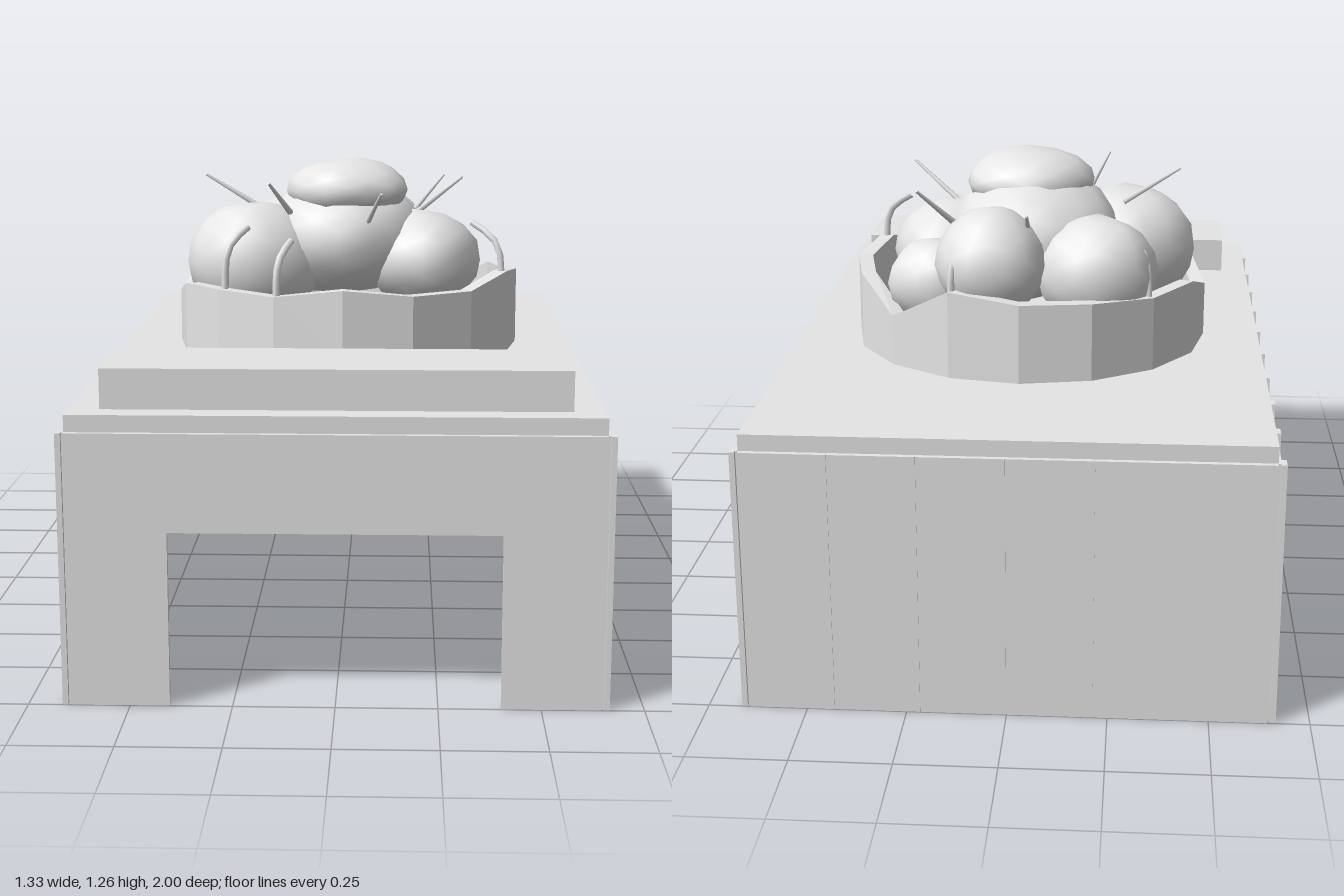
import * as THREE from 'three';
import { mergeVertices } from 'three/addons/utils/BufferGeometryUtils.js';

export function createModel() {
  const model = new THREE.Group();
  const grey = new THREE.MeshStandardMaterial({ color: 0xe6e6e6 });
  grey.name = 'light grey';

  const add = (name, geometry) => {
    const mesh = new THREE.Mesh(geometry, grey);
    mesh.name = name;
    model.add(mesh);
    return mesh;
  };
  // Box given by its minimum and maximum corners
  const box = (name, x0, x1, y0, y1, z0, z1) => {
    const mesh = add(name, new THREE.BoxGeometry(x1 - x0, y1 - y0, z1 - z0));
    mesh.position.set((x0 + x1) / 2, (y0 + y1) / 2, (z0 + z1) / 2);
  };

  // Side walls with evenly spaced vertical ribs, and the rail above each wall
  for (const s of [-1, 1]) {
    const side = s > 0 ? 'left' : 'right';
    const span = (name, a, b, y0, y1, z0, z1) =>
      box(name, Math.min(s * a, s * b), Math.max(s * a, s * b), y0, y1, z0, z1);
    span(side + 'Wall', 0.645, 0.654, 0, 0.68, -0.988, 0.988);
    span(side + 'Rail', 0.635, 0.646, 0.67, 0.71, -0.986, 0.986);
    for (let i = 0; i < 10; i++) {
      const z = -0.98 + (i * 1.96) / 9;
      span(side + 'Rib', 0.652, 0.666, 0, 0.68, z - 0.018, z + 0.018);
    }
    box(s > 0 ? 'frontRail' : 'backRail', -0.636, 0.636, 0.67, 0.71, s * 0.981 - 0.005, s * 0.981 + 0.005);
  }

  // Front wall with a wide doorway
  const front = new THREE.Shape();
  [[-0.645, 0], [-0.403, 0], [-0.403, 0.437], [0.403, 0.437], [0.403, 0], [0.645, 0], [0.645, 0.68], [-0.645, 0.68]]
    .forEach(([x, y], i) => (i ? front.lineTo(x, y) : front.moveTo(x, y)));
  add('frontWall', new THREE.ExtrudeGeometry(front, { depth: 0.014, bevelEnabled: false })).position.z = 0.985;

  // Back wall made of six panels
  box('backWall', -0.645, 0.645, 0, 0.68, -0.997, -0.985);
  for (let i = 0; i < 6; i++) {
    const x = -0.645 + i * 0.215;
    box('backPanel', x + 0.001, x + 0.214, 0, 0.68, -1, -0.996);
  }

  // Roof plate and the front box
  box('roof', -0.646, 0.646, 0.708, 0.722, -0.986, 0.986);
  box('frontBox', -0.57, 0.57, 0.722, 0.822, 0.636, 0.92);

  // Sixteen-sided bowl with an uneven rim
  const rim = [0.938, 0.918, 0.918, 0.953, 0.935, 0.933, 0.858, 0.955, 0.933,
    0.93, 0.92, 0.925, 0.87, 0.915, 0.92, 0.915, 0.938];
  const profile = [[0.492, 0.722], [0.492, 0.9], [0.452, 0.9], [0.452, 0.722]].map(p => new THREE.Vector2(...p));
  const lathe = new THREE.LatheGeometry(profile, 16);
  const lp = lathe.attributes.position;
  for (let k = 0; k < lp.count; k++) {
    if (k % 4 === 1 || k % 4 === 2) lp.setY(k, rim[Math.floor(k / 4)]);
  }
  const bowl = lathe.toNonIndexed();
  bowl.computeVertexNormals();
  add('bowl', bowl).position.z = -0.07;

  // Lumpy smooth mounds heaped in the bowl: centre, then radii
  const mounds = [
    [0.003, 1.165, -0.08, 0.178, 0.09, 0.178],
    [-0.015, 1.025, -0.13, 0.24, 0.172, 0.275],
    [-0.265, 0.965, -0.01, 0.197, 0.172, 0.19],
    [0.215, 0.965, -0.07, 0.167, 0.143, 0.2],
    [-0.195, 0.97, -0.335, 0.163, 0.15, 0.155],
    [0.085, 1.0, -0.375, 0.15, 0.15, 0.16],
    [0.24, 0.925, -0.305, 0.136, 0.12, 0.112],
  ];
  mounds.forEach(([x, y, z, rx, ry, rz], n) => {
    let g = new THREE.IcosahedronGeometry(1, 2);
    g.deleteAttribute('uv');
    g.deleteAttribute('normal');
    g = mergeVertices(g, 1e-4);
    const p = g.attributes.position;
    const v = new THREE.Vector3();
    for (let i = 0; i < p.count; i++) {
      v.fromBufferAttribute(p, i);
      v.multiplyScalar(1 + 0.04 * Math.sin(5 * v.x + n) * Math.cos(4 * v.z + 2 * n));
      p.setXYZ(i, v.x * rx, v.y * ry, v.z * rz);
    }
    g.computeVertexNormals();
    add('mound', g).position.set(x, y, z);
  });

  // Bent sprigs rising from the rim and curling inward: base, then tip
  const sprigs = [
    [-0.33, 0.88, 0.26, -0.27, 1.083, 0.195],
    [-0.182, 0.87, 0.36, -0.145, 1.055, 0.28],
    [0.44, 0.87, 0.11, 0.355, 1.085, 0.07],
    [0.182, 0.9, -0.505, 0.14, 1.08, -0.42],
    [-0.335, 0.88, -0.4, -0.265, 1.08, -0.35],
  ];
  for (const [x0, y0, z0, x1, y1, z1] of sprigs) {
    const at = (t, h) => new THREE.Vector3(x0 + (x1 - x0) * t, y0 + (y1 - y0) * h, z0 + (z1 - z0) * t);
    const path = new THREE.CatmullRomCurve3([at(0, 0), at(0.1, 0.65), at(0.35, 0.82), at(1, 1)]);
    add('sprig', new THREE.TubeGeometry(path, 6, 0.01, 6));
  }

  // Straight tapering spikes stuck in the mounds: base, then tip
  const spikes = [
    [-0.26, 1.11, -0.11, -0.415, 1.205, -0.1],
    [-0.16, 1.11, 0.06, -0.215, 1.2, 0.15],
    [0.055, 1.075, 0.09, 0.1, 1.175, 0.2],
    [0.19, 1.09, -0.08, 0.33, 1.205, -0.03],
    [-0.01, 1.08, -0.35, -0.015, 1.15, -0.48],
    [0.19, 1.08, -0.28, 0.285, 1.185, -0.36],
  ];
  const up = new THREE.Vector3(0, 1, 0);
  for (const s of spikes) {
    const a = new THREE.Vector3(...s.slice(0, 3));
    const b = new THREE.Vector3(...s.slice(3));
    const dir = b.clone().sub(a);
    const mesh = add('spike', new THREE.CylinderGeometry(0.004, 0.009, dir.length(), 6));
    mesh.position.copy(a).add(b).multiplyScalar(0.5);
    mesh.quaternion.setFromUnitVectors(up, dir.normalize());
  }

  return model;
}
